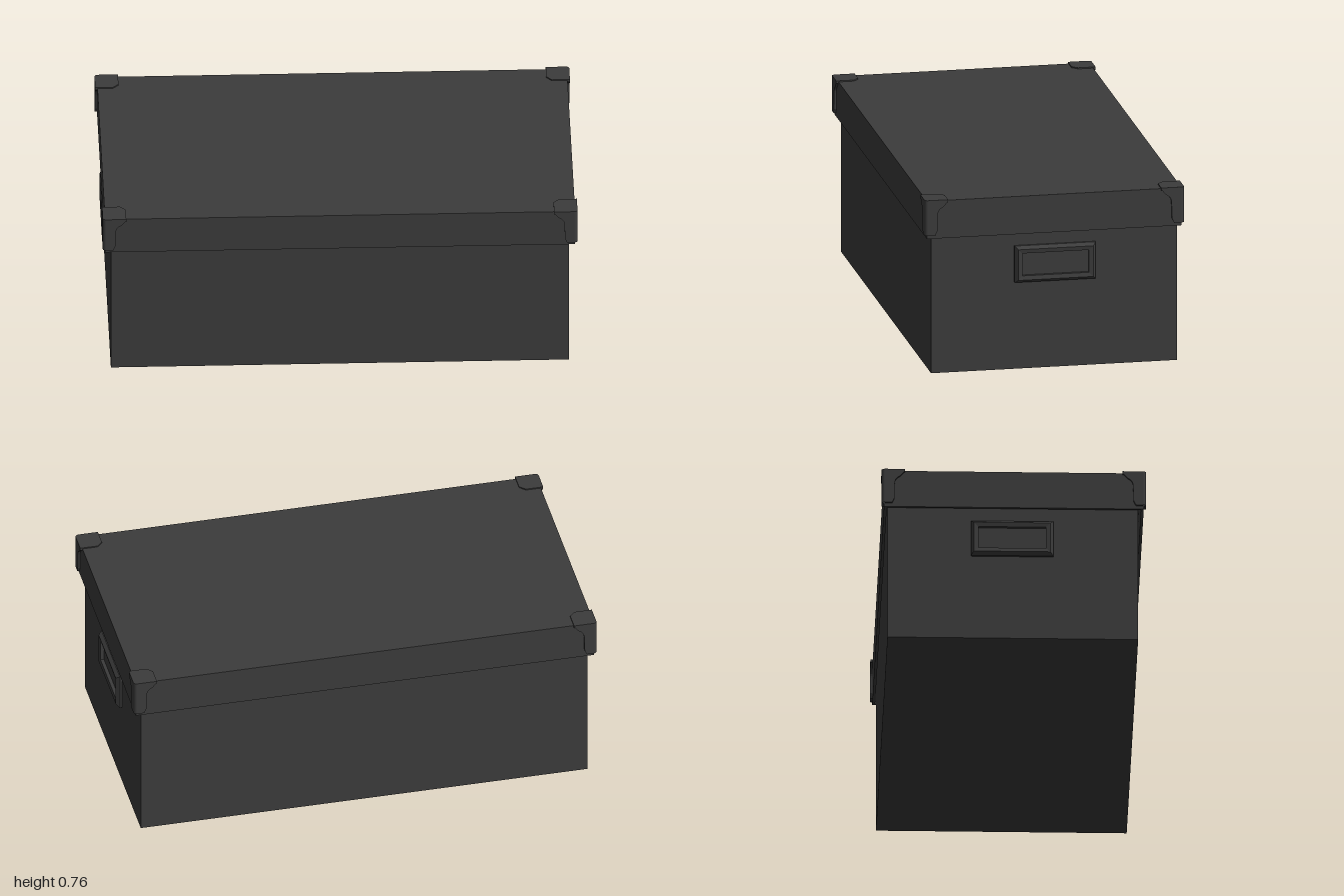
import * as THREE from 'three';

const material = new THREE.MeshStandardMaterial({ color: 0x3c3c3c, side: THREE.DoubleSide });

function add(parent, name, geometry, x = 0, y = 0, z = 0) {
  const mesh = new THREE.Mesh(geometry, material);
  mesh.name = name;
  mesh.position.set(x, y, z);
  parent.add(mesh);
  return mesh;
}

const BOTTOM = 0.61, TOP = 0.765, R = 0.014, T = 0.02;

// Flared side plate of a corner guard; dir is the way it runs from the corner
function guardPlate(dir) {
  const s = new THREE.Shape();
  s.moveTo(dir * R, BOTTOM);
  s.lineTo(dir * 0.044, BOTTOM);
  s.lineTo(dir * 0.053, BOTTOM + 0.02);
  s.lineTo(dir * 0.055, 0.7);
  s.quadraticCurveTo(dir * 0.056, 0.723, dir * 0.075, 0.732);
  s.quadraticCurveTo(dir * 0.086, 0.74, dir * 0.099, TOP - 0.005);
  s.lineTo(dir * 0.099, TOP);
  s.lineTo(dir * R, TOP);
  s.closePath();
  return new THREE.ExtrudeGeometry(s, { depth: T, bevelEnabled: false, curveSegments: 5 }).translate(0, 0, -T);
}

// Corner guard: two side plates, a rounded upright edge and a top plate
function createGuard() {
  const g = new THREE.Group();
  g.name = 'cornerGuard';
  add(g, 'guardFrontPlate', guardPlate(-1));
  add(g, 'guardSidePlate', guardPlate(1).rotateY(Math.PI / 2));
  add(g, 'guardEdge', new THREE.CylinderGeometry(R, R, TOP - BOTTOM, 6, 1, true, 0, Math.PI / 2),
    -R, (TOP + BOTTOM) / 2, -R);

  const s = new THREE.Shape();
  s.moveTo(-0.099, 0);
  s.lineTo(-R, 0);
  s.absarc(-R, R, R, -Math.PI / 2, 0, false);
  s.lineTo(0, 0.099);
  s.lineTo(-0.075, 0.099);
  s.lineTo(-0.099, 0.075);
  s.closePath();
  const top = new THREE.ExtrudeGeometry(s, { depth: 0.012, bevelEnabled: false, curveSegments: 6 });
  add(g, 'guardTopPlate', top.rotateX(-Math.PI / 2), 0, TOP - 0.012, 0);
  return g;
}

// Bevelled rectangular label frame facing +x, lofted through nested rectangles
function frameGeometry() {
  const rings = [[0, -0.004], [0, 0.01], [0.013, 0.025], [0.031, 0.021], [0.031, 0.006]]; // inset, height
  const corners = rings.map(([inset, x]) => {
    const w = 0.174 - inset, h = 0.08 - inset;
    return [[x, -h, w], [x, -h, -w], [x, h, -w], [x, h, w]];
  });
  const pos = [];
  const quad = (a, b, c, d) => pos.push(...a, ...b, ...c, ...a, ...c, ...d);
  for (let i = 0; i < rings.length - 1; i++) {
    for (let k = 0; k < 4; k++) {
      const n = (k + 1) % 4;
      quad(corners[i][k], corners[i][n], corners[i + 1][n], corners[i + 1][k]);
    }
  }
  quad(...corners[rings.length - 1]);
  const geo = new THREE.BufferGeometry();
  geo.setAttribute('position', new THREE.Float32BufferAttribute(pos, 3));
  geo.computeVertexNormals();
  return geo;
}

export function createModel() {
  const model = new THREE.Group();
  model.name = 'storageBox';

  // Box body
  add(model, 'body', new THREE.BoxGeometry(1.93, 0.74, 1.056), 0, 0.37, -0.004);

  // Lid: top panel and overhanging rim
  const lid = new THREE.Group();
  lid.name = 'lid';
  model.add(lid);
  const lx = 0.99, lz = 0.547, wall = 0.012, y0 = 0.595, y1 = 0.76;
  add(lid, 'lidTop', new THREE.BoxGeometry(lx * 2, wall, lz * 2), 0, y1 - wall / 2, 0);
  const rimHeight = y1 - wall - y0, rimY = y0 + rimHeight / 2;
  for (const s of [1, -1]) {
    add(lid, 'lidLongRim', new THREE.BoxGeometry(lx * 2, rimHeight, wall), 0, rimY, s * (lz - wall / 2));
    add(lid, 'lidEndRim', new THREE.BoxGeometry(wall, rimHeight, (lz - wall) * 2), s * (lx - wall / 2), rimY, 0);
  }

  // Corner guards, turned a quarter for each corner
  [[1, 1], [1, -1], [-1, -1], [-1, 1]].forEach(([sx, sz], i) => {
    const guard = createGuard();
    guard.position.set(sx, 0, sz * 0.557);
    guard.rotation.y = i * Math.PI / 2;
    lid.add(guard);
  });

  // Label frames on both ends
  const frame = frameGeometry();
  for (const s of [1, -1]) {
    const mesh = add(model, s > 0 ? 'leftLabelFrame' : 'rightLabelFrame', frame, s * 0.965, 0.459, -0.007);
    mesh.rotation.y = s > 0 ? 0 : Math.PI;
  }
  return model;
}
